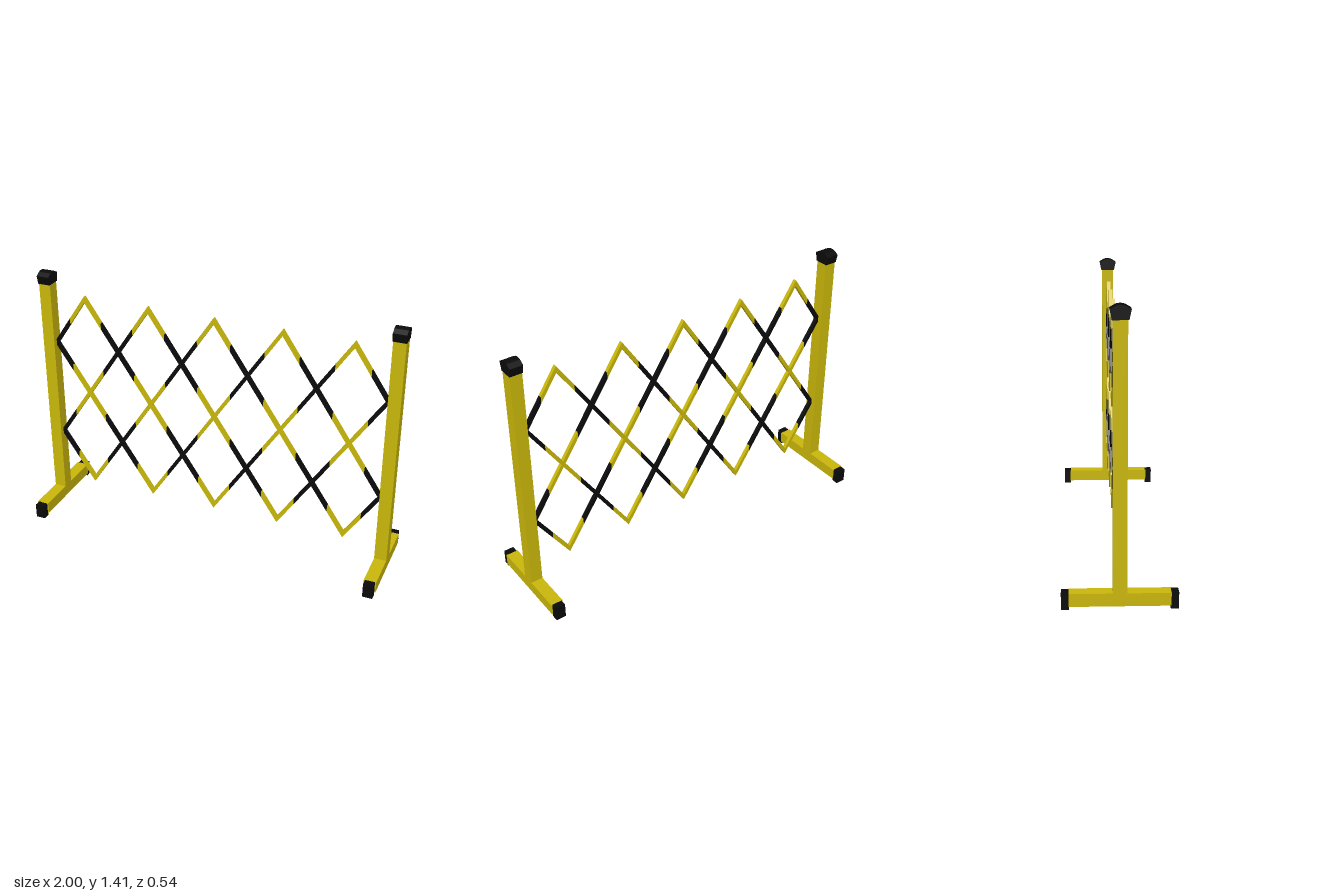
import * as THREE from 'three';

const yellow = new THREE.MeshStandardMaterial({ color: 0xc8b60a });
const black = new THREE.MeshStandardMaterial({ color: 0x0a0a0a });

function add(parent, name, geometry, material, x = 0, y = 0, z = 0) {
  const mesh = new THREE.Mesh(geometry, material);
  mesh.name = name;
  mesh.position.set(x, y, z);
  parent.add(mesh);
  return mesh;
}

// Bar from a to b, cut by vertical planes so neighbouring bars meet in a mitre
function slantedBar(ax, ay, bx, by) {
  const thickness = 0.02;
  const slope = (by - ay) / (bx - ax);
  const height = thickness * Math.hypot(1, slope);
  const geometry = new THREE.BoxGeometry(Math.abs(bx - ax), height, thickness);
  const p = geometry.attributes.position;
  for (let i = 0; i < p.count; i++) p.setY(i, p.getY(i) + slope * p.getX(i));
  geometry.translate((ax + bx) / 2, (ay + by) / 2, 0);
  const flat = geometry.toNonIndexed();
  flat.computeVertexNormals();
  return flat;
}

// Flared cap with a domed top, extruded across the post
function capGeometry() {
  const s = new THREE.Shape();
  s.moveTo(-0.038, 0);
  s.lineTo(0.038, 0);
  s.lineTo(0.048, 0.047);
  s.lineTo(0.022, 0.062);
  s.quadraticCurveTo(0, 0.07, -0.022, 0.062);
  s.lineTo(-0.048, 0.047);
  s.closePath();
  const geometry = new THREE.ExtrudeGeometry(s, { depth: 0.07, bevelEnabled: false, curveSegments: 6 });
  geometry.translate(0, 0, -0.035);
  geometry.rotateY(Math.PI / 2);
  return geometry;
}

function createStand(name, x) {
  const stand = new THREE.Group();
  stand.name = name;
  stand.position.x = x;
  add(stand, 'post', new THREE.BoxGeometry(0.066, 1.27, 0.066), yellow, 0, 0.715, 0);
  add(stand, 'postCap', capGeometry(), black, 0, 1.343, 0);
  add(stand, 'footBeam', new THREE.BoxGeometry(0.066, 0.063, 0.474), yellow, 0, 0.0485, 0);
  for (const side of [1, -1]) {
    add(stand, side > 0 ? 'frontFootCap' : 'backFootCap',
      new THREE.BoxGeometry(0.054, 0.08, 0.038), black, 0, 0.04, side * 0.253);
  }
  return stand;
}

// Expanding trellis: yellow around the odd columns of joints, black around the even ones
function createLattice() {
  const lattice = new THREE.Group();
  lattice.name = 'lattice';
  const x0 = -0.93, dx = 0.186, y0 = 0.168, dy = 0.278;
  for (let column = 0; column < 10; column++) {
    for (let row = 0; row < 4; row++) {
      const rising = (column + row) % 2 === 1;
      const ax = x0 + column * dx, bx = ax + dx;
      const low = y0 + row * dy, high = low + dy;
      const ay = rising ? low : high, by = rising ? high : low;
      const mx = (ax + bx) / 2, my = (ay + by) / 2;
      const even = column % 2 === 0;
      add(lattice, even ? 'blackBar' : 'yellowBar', slantedBar(ax, ay, mx, my), even ? black : yellow);
      add(lattice, even ? 'yellowBar' : 'blackBar', slantedBar(mx, my, bx, by), even ? yellow : black);
    }
  }
  return lattice;
}

export function createModel() {
  const model = new THREE.Group();
  model.name = 'expandingBarrier';
  model.add(createStand('leftStand', 0.965), createStand('rightStand', -0.965), createLattice());
  return model;
}
